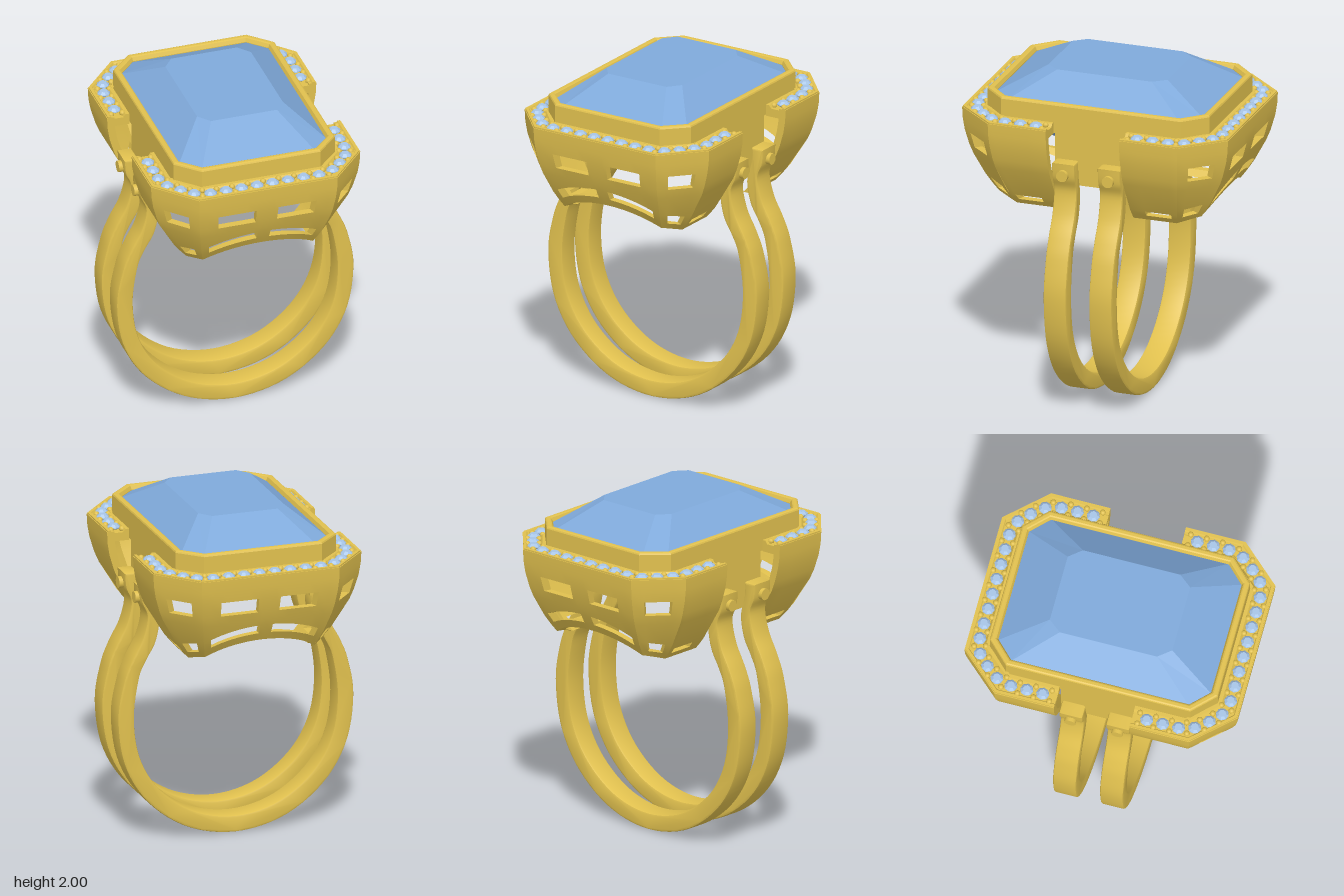
import * as THREE from 'three';
import { toCreasedNormals } from 'three/addons/utils/BufferGeometryUtils.js';

const gold = new THREE.MeshStandardMaterial({ color: 0xe0c04e });
const blue = new THREE.MeshStandardMaterial({ color: 0x7fa9da, flatShading: true });
const paleBlue = new THREE.MeshStandardMaterial({ color: 0xa6c4e6, flatShading: true });
const V = (x, y, z) => new THREE.Vector3(x, y, z);

function add(parent, name, geometry, material = gold) {
  const mesh = new THREE.Mesh(geometry, material);
  mesh.name = name;
  parent.add(mesh);
  return mesh;
}

// Collects triangles and quads into one geometry
function builder() {
  const p = [];
  const tri = (...pts) => pts.forEach(v => p.push(v.x, v.y, v.z));
  const quad = (a, b, c, d) => { tri(a, b, c); tri(a, c, d); };
  const build = (crease = 0.4) => {
    const g = new THREE.BufferGeometry();
    g.setAttribute('position', new THREE.Float32BufferAttribute(p, 3));
    return toCreasedNormals(g, crease);
  };
  return { tri, quad, build };
}

// Skins closed cross-sections along a path, either looped or capped
function loft(sections, looped) {
  const b = builder(), n = sections.length, m = sections[0].length;
  for (let k = 0; k < (looped ? n : n - 1); k++) {
    const s = sections[k], t = sections[(k + 1) % n];
    for (let j = 0; j < m; j++) {
      const i = (j + 1) % m;
      b.quad(s[j], s[i], t[i], t[j]);
    }
  }
  if (!looped) for (let j = 1; j < m - 1; j++) {
    const s = sections[0], t = sections[n - 1];
    b.tri(s[0], s[j + 1], s[j]);
    b.tri(t[0], t[j], t[j + 1]);
  }
  return b.build(0.2);
}

// Corners of a cut-corner rectangle, from +x round the front to -x and back
const octagon = (X, Z, px, pz) => [[X, -pz], [X, pz], [px, Z], [-px, Z],
  [-X, pz], [-X, -pz], [-px, -Z], [px, -Z]];

// Half outline of the basket at height y, inset by d, starting at the gap
const K = 0.414, GAP = 0.225;
function outline(y, d) {
  const t2 = ((1.76 - y) / 0.56) ** 2;
  const X = 0.635 - 0.245 * t2 - d, Z = 0.815 - 0.226 * t2 - d;
  const px = 0.42 - 0.0985 * t2 - K * d, pz = 0.58 - 0.09 * t2 - K * d;
  return [[X, GAP], [X, pz], [px, Z], [-px, Z], [-X, pz], [-X, GAP]];
}

// Lower edge of each basket panel; the front one arches over the finger
const arch = x => 0.68 + Math.sqrt(0.4225 - x * x);
const bottoms = [() => 1.2, u => 1.2 + 0.04 * u, u => arch(0.335 * (1 - 2 * u)),
  u => 1.24 - 0.04 * u, () => 1.2];

// Curved panel with thickness; cells that fall in a window are left open
function panel(i, cols, low, high, lowWin, highWin) {
  const b = builder();
  const rowY = (j, u) => {
    const base = bottoms[i](u);
    return [base, base + low[0], base + low[1], 1.47, high[0], high[1], 1.69, 1.76][j];
  };
  const P = (c, r, d) => {
    const u = cols[c], y = rowY(r, u), o = outline(y, d), s = o[i], e = o[i + 1];
    return V(s[0] + (e[0] - s[0]) * u, y, s[1] + (e[1] - s[1]) * u);
  };
  const inside = (u, list) => list.some(([lo, hi]) => u > lo && u < hi);
  const solid = (c, r) => {
    if (c < 0 || r < 0 || c >= cols.length - 1 || r > 6) return false;
    const u = (cols[c] + cols[c + 1]) / 2;
    return !((r === 1 && inside(u, lowWin)) || (r === 4 && inside(u, highWin)));
  };
  for (let c = 0; c < cols.length - 1; c++) for (let r = 0; r < 7; r++) {
    if (!solid(c, r)) continue;
    const ring = [[c, r], [c, r + 1], [c + 1, r + 1], [c + 1, r]];
    const o = ring.map(q => P(...q, 0)), n = ring.map(q => P(...q, 0.045));
    b.quad(...o);
    b.quad(n[0], n[3], n[2], n[1]);
    [[-1, 0], [0, 1], [1, 0], [0, -1]].forEach(([dc, dr], e) => {
      const f = (e + 1) % 4;
      if (!solid(c + dc, r + dr)) b.quad(o[f], o[e], n[e], n[f]);
    });
  }
  return b.build();
}

// One half of the basket with its stone-set border
function halfBasket() {
  const half = new THREE.Group();
  const mirror = list => list.map(u => 1 - u).reverse();
  const flip = wins => wins.map(([a, z]) => [1 - z, 1 - a]);
  const up = [1.53, 1.62];
  const side = [0, 0.32, 0.88, 1], sideWin = [[0.32, 0.88]];
  add(half, 'leftSidePanel', panel(0, side, [0.035, 0.07], up, sideWin, []));
  add(half, 'rightSidePanel', panel(4, mirror(side), [0.035, 0.07], up, flip(sideWin), []));
  for (const i of [1, 3]) add(half, 'cornerPanel',
    panel(i, [0, 0.23, 0.77, 1], [0.04, 0.105], up, [[0.23, 0.77]], [[0.23, 0.77]]));
  const pos = [1, 0.88, 0.72, 0.58, 0.44, 0.3, 0.16, 0.1];
  const cols = [...pos, 0, ...pos.map(s => -s).reverse()].map(s => (1 - s) / 2);
  add(half, 'frontPanel', panel(2, cols, [0.05, 0.108], up,
    [[0.06, 0.45], [0.55, 0.94]], [[0.14, 0.42], [0.58, 0.86]]));

  // Border tray with raised rims
  const tray = [[0.067, 1.7], [0.005, 1.7], [0.005, 1.768], [0.022, 1.768], [0.035, 1.75],
    [0.1, 1.75], [0.113, 1.768], [0.135, 1.768], [0.135, 1.7]];
  const lines = tray.map(([d]) => outline(1.76, d));
  add(half, 'borderTray', loft(lines[0].map((_, k) =>
    tray.map(([, y], j) => V(lines[j][k][0], y, lines[j][k][1]))), false));

  // Border stones in order, with a pair of beads between neighbours
  const quarter = [[0.565, 0.31], [0.565, 0.405], [0.565, 0.5], [0.54, 0.59], [0.483, 0.662], [0.42, 0.722],
    [0.329, 0.748], [0.235, 0.748], [0.141, 0.748], [0.047, 0.748]];
  const stones = [...quarter, ...quarter.map(([x, z]) => [-x, z]).reverse()];
  const cut = new THREE.LatheGeometry([[0, -0.03], [0.039, 0], [0.037, 0.006], [0.022, 0.02], [0, 0.02]]
    .map(p => new THREE.Vector2(...p)), 8);
  const bead = new THREE.SphereGeometry(0.018, 10, 6);
  stones.forEach(([x, z], i) => {
    add(half, 'borderStone', cut, paleBlue).position.set(x, 1.758, z);
    const [nx, nz] = stones[i + 1] || [x, z - 0.095];
    const len = Math.hypot(nx - x, nz - z);
    for (const s of [-0.034, 0.034]) add(half, 'bead', bead).position.set(
      (x + nx) / 2 - s * (nz - z) / len, 1.758, (z + nz) / 2 + s * (nx - x) / len);
  });
  for (const s of [-1, 1]) add(half, 'bead', bead).position.set(0.565 + s * 0.034, 1.758, 0.262);
  return half;
}

// Band outline: necked arms flowing into a round lower part
function bandCurve(arm, cy, r) {
  const low = [-20, -42, -66, -90].map(a => {
    const t = THREE.MathUtils.degToRad(a);
    return [r * Math.cos(t), cy + r * Math.sin(t)];
  });
  const right = [...arm, ...low];
  const all = [...right, ...right.slice(0, -1).reverse().map(([x, y]) => [-x, y])];
  return new THREE.SplineCurve(all.map(p => new THREE.Vector2(...p))).getPoints(110);
}

export function createModel() {
  const model = new THREE.Group();
  model.name = 'ring';

  // Twin bands, pinned to the setting
  const outer = bandCurve([[0.58, 1.55], [0.572, 1.46], [0.54, 1.37], [0.57, 1.235], [0.635, 1.11],
    [0.685, 0.98], [0.72, 0.76]], 0.725, 0.72);
  const inner = bandCurve([[0.5, 1.55], [0.495, 1.46], [0.466, 1.34], [0.49, 1.21], [0.545, 1.11],
    [0.59, 1.0], [0.62, 0.76]], 0.725, 0.62);
  const bandGeo = toCreasedNormals(new THREE.ExtrudeGeometry(new THREE.Shape([...outer, ...inner.reverse()]), {
    depth: 0.116, bevelEnabled: true, bevelSize: 0.012, bevelOffset: -0.012, bevelThickness: 0.012, bevelSegments: 2,
  }).translate(0, 0, -0.058), 0.5);
  const pinGeo = new THREE.CylinderGeometry(0.034, 0.034, 0.13, 20).rotateZ(Math.PI / 2);
  for (const z of [-0.14, 0.14]) {
    add(model, 'band', bandGeo).position.z = z;
    for (const s of [-1, 1]) add(model, 'pin', pinGeo).position.set(s * 0.535, 1.48, z);
  }

  // Plates joining the bezel to the bands
  for (const s of [-1, 1])
    add(model, 'sidePlate', new THREE.BoxGeometry(0.04, 0.4, 0.44)).position.set(s * 0.469, 1.595, 0);

  // Basket halves
  for (const [name, turn] of [['frontBasket', 0], ['backBasket', Math.PI]]) {
    const half = halfBasket();
    half.name = name;
    half.rotation.y = turn;
    model.add(half);
  }

  // Bezel around the main stone
  const rim = [[0, 1.7], [0, 1.868], [0.004, 1.876], [0.012, 1.88], [0.028, 1.88], [0.036, 1.876],
    [0.046, 1.855], [0.046, 1.7]];
  const rings = rim.map(([d]) => octagon(0.49, 0.68, 0.36, 0.55).map(([x, z]) => {
    const onSide = Math.abs(x) > 0.4;
    return [x - Math.sign(x) * d * (onSide ? 1 : K), z - Math.sign(z) * d * (onSide ? K : 1)];
  }));
  add(model, 'bezel', loft(rings[0].map((_, k) =>
    rim.map(([, y], j) => V(rings[j][k][0], y, rings[j][k][1]))), true));

  // Main stone: keel, girdle and table
  const levels = [[1.44, 0, 0, 0, 0], [1.44, 0.015, 0.22, 0.01, 0.21], [1.74, 0.45, 0.635, 0.345, 0.53],
    [1.85, 0.45, 0.635, 0.345, 0.53], [2, 0.26, 0.365, 0.2, 0.29], [2, 0, 0, 0, 0]];
  const facets = levels.map(([, ...o]) => octagon(...o));
  add(model, 'mainStone', loft(facets[0].map((_, k) =>
    levels.map(([y], j) => V(facets[j][k][0], y, facets[j][k][1]))), true), blue);
  return model;
}
